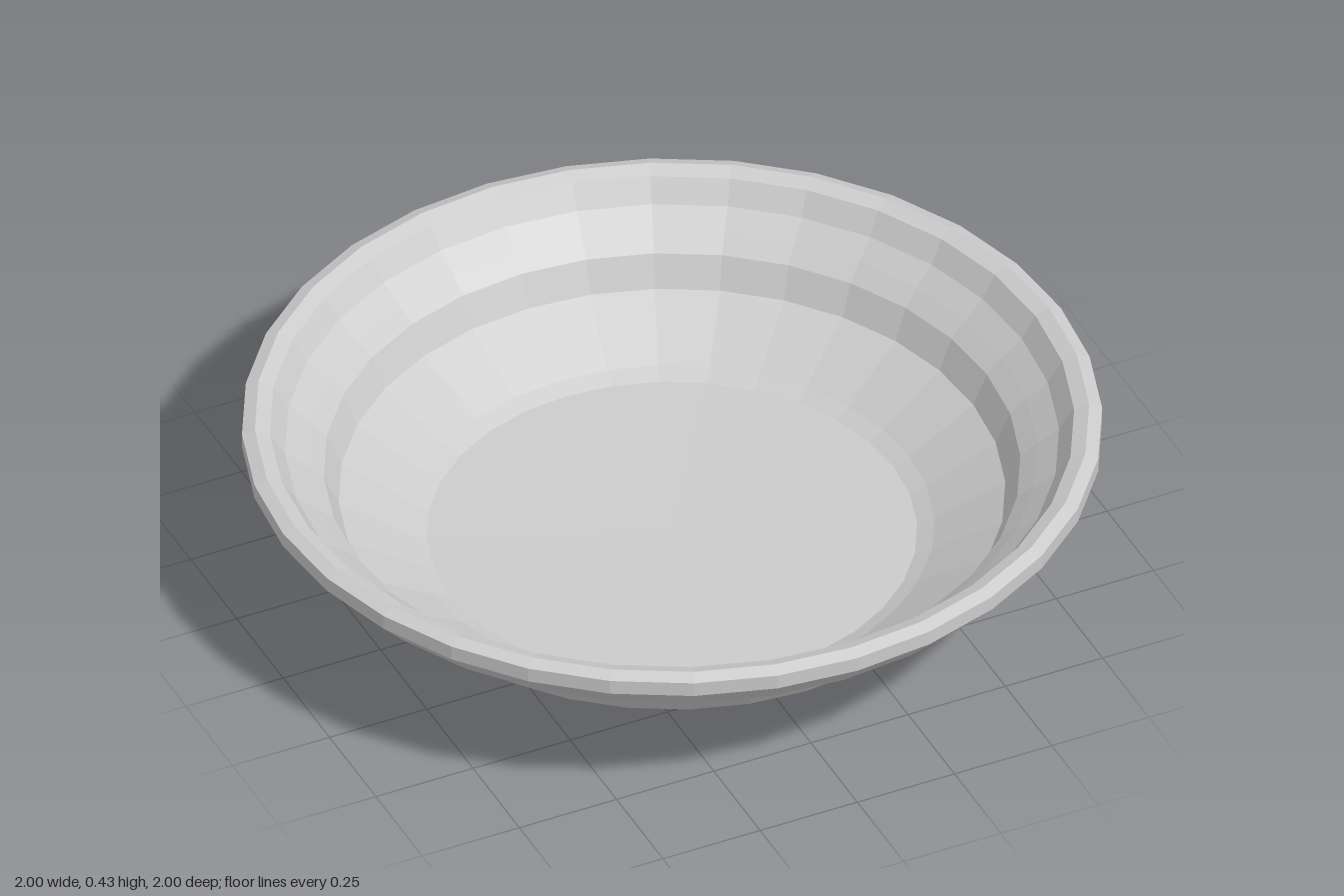
import * as THREE from 'three';

const SIDES = 32;

// Profiles as [radius, height], from the axis outwards and back in
const outside = [
  [0, 0], [0.12, 0.002], [0.41, 0.014], [0.5, 0.028], [0.6, 0.1],
  [0.72, 0.13], [0.77, 0.2], [0.93, 0.31], [1, 0.385],
];
const rim = [[1, 0.385], [1, 0.422], [0.97, 0.433], [0.935, 0.42]];
const inside = [
  [0.935, 0.42], [0.9, 0.365], [0.85, 0.325], [0.81, 0.29],
  [0.775, 0.213], [0.61, 0.115], [0.57, 0.098], [0, 0.094],
];

function turned(name, profile, material) {
  const points = profile.map(([r, y]) => new THREE.Vector2(r, y));
  const mesh = new THREE.Mesh(new THREE.LatheGeometry(points, SIDES), material);
  mesh.name = name;
  return mesh;
}

export function createModel() {
  const group = new THREE.Group();
  group.name = 'dish';
  const material = new THREE.MeshStandardMaterial({ color: 0xcccccc, flatShading: true });

  // Stepped underside, bevelled lip and stepped bowl with a flat floor
  group.add(turned('outerWall', outside, material));
  group.add(turned('rim', rim, material));
  group.add(turned('innerBowl', inside, material));
  return group;
}
